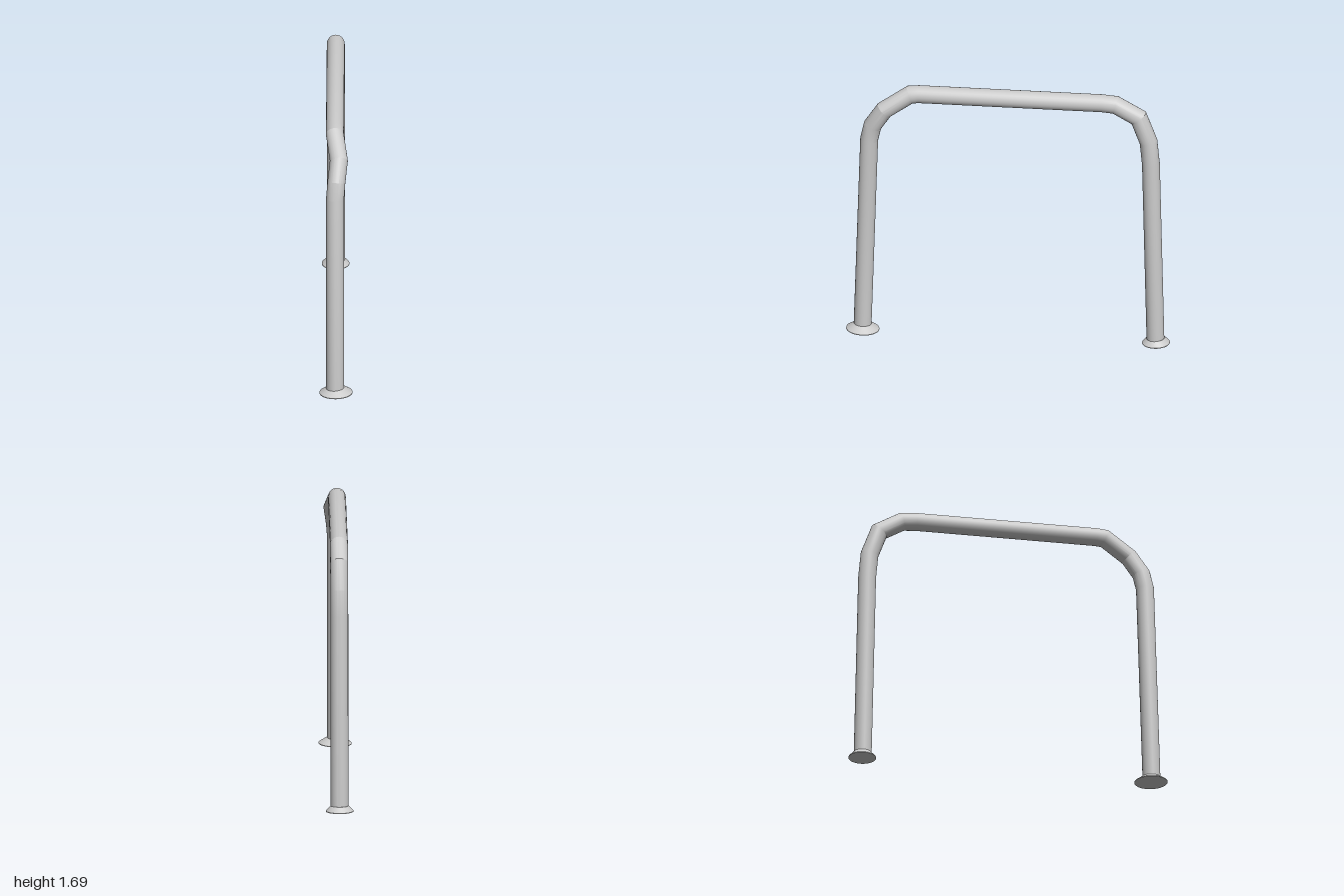
import * as THREE from 'three';
import { toCreasedNormals } from 'three/addons/utils/BufferGeometryUtils.js';

const SIDES = 24;
const RADIUS = 0.055;
const material = new THREE.MeshStandardMaterial({ color: 0xcccccc, side: THREE.DoubleSide });

// Round pipe along a polyline, with mitred joints
function mitredPipe(path, radius) {
  const positions = [];
  const index = [];
  const dirs = path.slice(1).map((p, i) => p.clone().sub(path[i]).normalize());
  const u = new THREE.Vector3(1, 0, 0).cross(dirs[0]).normalize();
  const v = dirs[0].clone().cross(u);
  let ring = [];
  for (let j = 0; j < SIDES; j++) {
    const a = (j / SIDES) * Math.PI * 2;
    ring.push(path[0].clone()
      .addScaledVector(u, Math.cos(a) * radius)
      .addScaledVector(v, Math.sin(a) * radius));
  }
  path.forEach((p, i) => {
    if (i > 0) {
      // slide the ring along the segment onto the next mitre plane
      const d = dirs[i - 1];
      const n = d.clone().add(dirs[i] ?? d).normalize();
      ring = ring.map((q) => q.clone().addScaledVector(d, p.clone().sub(q).dot(n) / d.dot(n)));
    }
    ring.forEach((q) => positions.push(q.x, q.y, q.z));
    if (i === 0) return;
    for (let j = 0; j < SIDES; j++) {
      const k = (j + 1) % SIDES;
      const a = (i - 1) * SIDES;
      const b = i * SIDES;
      index.push(a + j, a + k, b + j, a + k, b + k, b + j);
    }
  });
  const geometry = new THREE.BufferGeometry();
  geometry.setAttribute('position', new THREE.Float32BufferAttribute(positions, 3));
  geometry.setIndex(index);
  return toCreasedNormals(geometry, 0.32);
}

// Flared floor flange, closed underneath
function flange(name, radius, x, y, z, tiltX, tiltZ) {
  const profile = [[0, 0], [radius, 0], [radius, 0.004], [RADIUS, 0.036], [RADIUS - 0.01, 0.036]]
    .map(([r, h]) => new THREE.Vector2(r, h));
  const geometry = toCreasedNormals(new THREE.LatheGeometry(profile, 32), 0.4);
  const mesh = new THREE.Mesh(geometry, material);
  mesh.name = name;
  mesh.position.set(x, y, z);
  mesh.rotation.set(tiltX, 0, tiltZ);
  return mesh;
}

export function createModel() {
  const group = new THREE.Group();
  group.name = 'hoopRail';

  // One continuous bent rail: front leg, top bar, back leg
  const path = [
    [-0.008, 0.02, 0.898],
    [-0.008, 1.31, 0.857],
    [0.0, 1.41, 0.835],
    [0.015, 1.525, 0.762],
    [-0.01, 1.627, 0.605],
    [-0.01, 1.633, 0.55],
    [-0.01, 1.633, -0.58],
    [-0.01, 1.626, -0.665],
    [-0.01, 1.545, -0.808],
    [-0.01, 1.385, -0.868],
    [-0.01, 1.23, -0.883],
    [-0.01, 0.02, -0.911],
  ].map((p) => new THREE.Vector3(...p));
  const rail = new THREE.Mesh(mitredPipe(path, RADIUS), material);
  rail.name = 'bentRail';
  group.add(rail);

  // Feet
  group.add(flange('frontFoot', 0.102, -0.002, 0.006, 0.896, -0.035, 0.02));
  group.add(flange('backFoot', 0.085, -0.012, 0.003, -0.914, 0.02, 0));
  return group;
}
